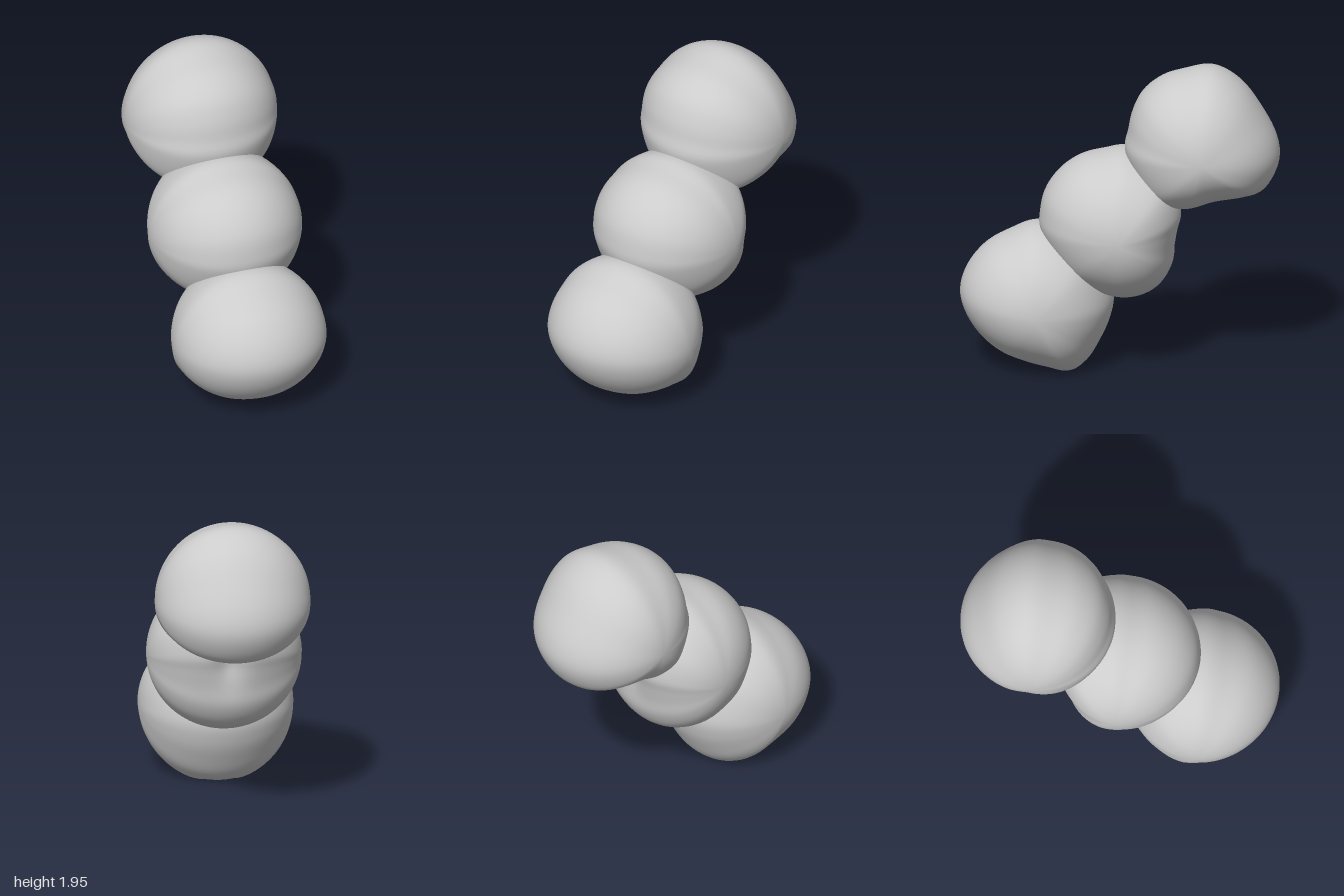
import * as THREE from 'three';
import { mergeVertices } from 'three/addons/utils/BufferGeometryUtils.js';

const HALF_WIDTH = 0.487;
const material = new THREE.MeshStandardMaterial({ color: 0xcccccc });

// Side outlines as [z, y], running from +z over the top; each closes inside its neighbour.
const blobs = [
  {
    name: 'lowerBlob', center: [0.52, 0.43],
    outline: [[1, 0.48], [0.96, 0.62], [0.85, 0.76], [0.7, 0.85], [0.51, 0.915], [0.18, 0.78],
      [0.04, 0.46], [0.06, 0.31], [0.12, 0.17], [0.2, 0.04], [0.3, -0.03], [0.45, -0.005],
      [0.6, 0.035], [0.75, 0.1], [0.88, 0.21], [0.97, 0.35]],
    dent: { at: [0, 0.06, 0.58], depth: 0.03, spread: [0.12, 0.15] },
  },
  {
    name: 'middleBlob', center: [0, 0.93],
    outline: [[0.5, 1], [0.47, 1.13], [0.38, 1.26], [0.25, 1.35], [0.1, 1.39], [-0.04, 1.41],
      [-0.34, 1.28], [-0.41, 1.04], [-0.385, 0.93], [-0.355, 0.8], [-0.33, 0.67],
      [-0.25, 0.54], [-0.13, 0.47], [0.03, 0.46], [0.34, 0.6], [0.5, 0.9]],
    dent: { at: [0, 1.05, -0.4], depth: 0.07, spread: [0.1, 0.2] },
  },
  {
    name: 'upperBlob', center: [-0.52, 1.45],
    outline: [[-0.03, 1.42], [-0.05, 1.53], [-0.075, 1.65], [-0.14, 1.78], [-0.26, 1.875],
      [-0.4, 1.92], [-0.56, 1.95], [-0.66, 1.92], [-0.78, 1.83], [-0.9, 1.66], [-0.98, 1.5],
      [-1, 1.38], [-0.97, 1.27], [-0.9, 1.17], [-0.8, 1.135], [-0.6, 1.1], [-0.4, 1.045], [-0.17, 1.1]],
    dent: { at: [0, 1.06, -0.42], depth: 0.07, spread: [0.1, 0.22] },
  },
];

// A ball with its poles on x, its equator stretched onto the side outline.
function makeBlob({ name, center: [cz, cy], outline, dent }) {
  const curve = new THREE.CatmullRomCurve3(
    outline.map(([z, y]) => new THREE.Vector3(0, y, z)), true, 'centripetal');
  let geometry = new THREE.SphereGeometry(1, 96, 64).rotateZ(-Math.PI / 2);
  const position = geometry.attributes.position;
  const center = new THREE.Vector3(0, cy, cz);
  const dentAt = new THREE.Vector3(...dent.at);
  const p = new THREE.Vector3();

  for (let i = 0; i < position.count; i++) {
    p.fromBufferAttribute(position, i);
    const x = p.x;
    const ring = Math.sqrt(Math.max(0, 1 - x * x));
    const turn = Math.atan2(p.y, p.z) / (2 * Math.PI);
    curve.getPointAt((turn + 1) % 1, p);
    p.sub(center).multiplyScalar(ring).add(center);
    p.x = x * HALF_WIDTH;

    // Shallow groove on the centre line
    const along = Math.hypot(p.y - dentAt.y, p.z - dentAt.z) / dent.spread[1];
    const across = p.x / dent.spread[0];
    const push = dent.depth * Math.exp(-along * along - across * across);
    const inward = center.clone().sub(p);
    if (inward.length() > 0.01) p.addScaledVector(inward.normalize(), push);

    position.setXYZ(i, p.x, Math.max(0, p.y), p.z);
  }

  // Weld the wrap-around so the normals stay smooth
  geometry.deleteAttribute('uv');
  geometry.deleteAttribute('normal');
  geometry = mergeVertices(geometry, 1e-5);
  geometry.computeVertexNormals();
  const mesh = new THREE.Mesh(geometry, material);
  mesh.name = name;
  return mesh;
}

export function createModel() {
  const group = new THREE.Group();
  group.name = 'blobStack';
  blobs.forEach((blob) => group.add(makeBlob(blob)));
  return group;
}
